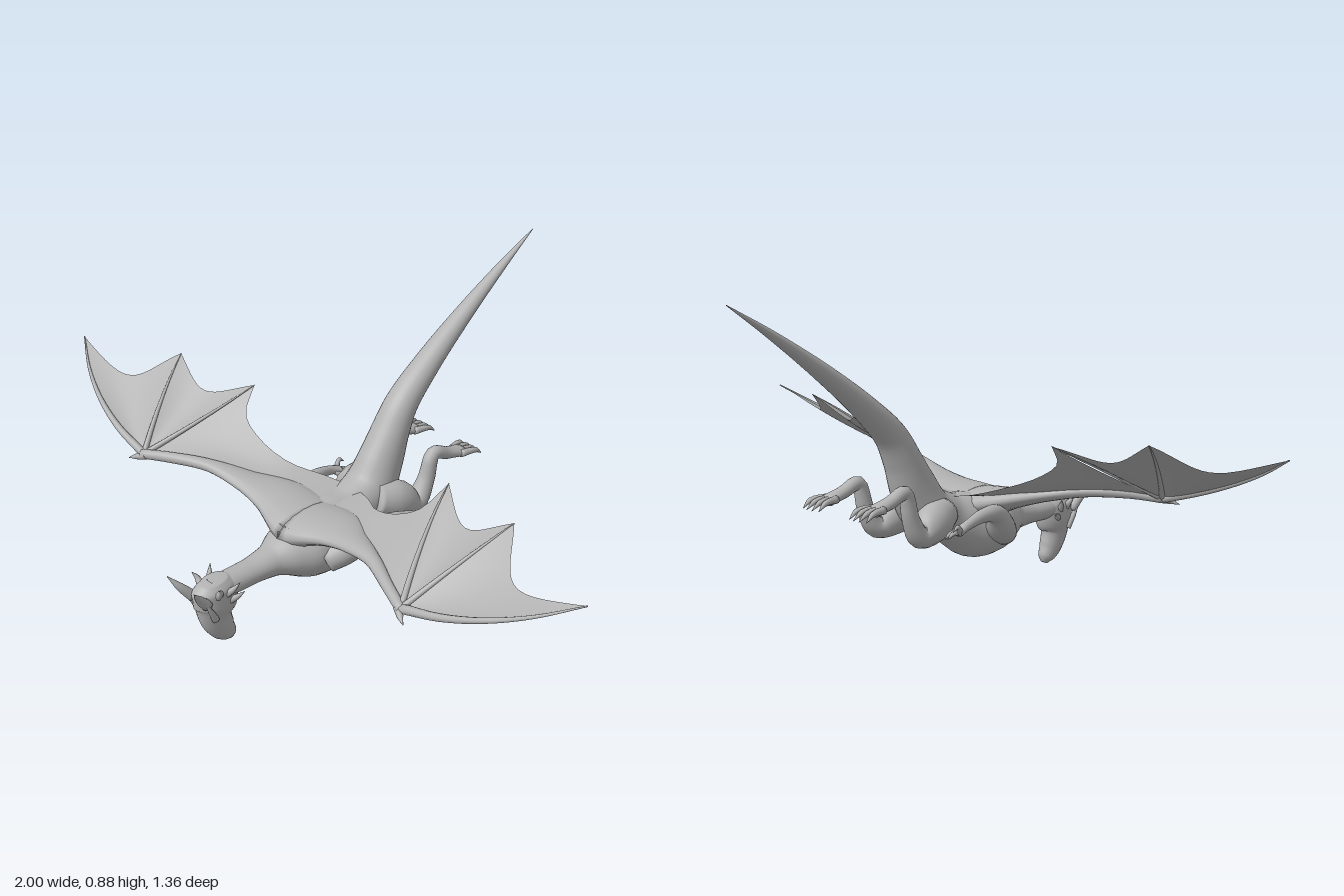
import * as THREE from 'three';

const V = (x, y, z) => new THREE.Vector3(x, y, z);
const hide = new THREE.MeshStandardMaterial({ color: 0xb2b2b2, side: THREE.DoubleSide });
hide.name = 'grey hide';

function indexed(pos, idx) {
  const g = new THREE.BufferGeometry();
  g.setAttribute('position', new THREE.Float32BufferAttribute(pos, 3));
  g.setIndex(idx);
  g.computeVertexNormals();
  return g;
}

// Smooth closed tube through sections [x, y, z, width, height]; width runs along ref
function loft(sections, ref = V(1, 0, 0), perSpan = 5, sides = 18) {
  const path = new THREE.CatmullRomCurve3(sections.map(s => V(s[0], s[1], s[2])));
  const size = new THREE.CatmullRomCurve3(sections.map(s => V(s[3], s[4] ?? s[3], 0)));
  const n = (sections.length - 1) * perSpan;
  const pos = [], idx = [];
  for (let k = -1; k <= n + 1; k++) {
    const u = THREE.MathUtils.clamp(k / n, 0, 1);
    const c = path.getPoint(u), t = path.getTangent(u), r = size.getPoint(u);
    const open = k >= 0 && k <= n ? 1 : 0;
    const a = ref.clone().addScaledVector(t, -ref.dot(t)).normalize();
    const b = t.clone().cross(a);
    for (let j = 0; j < sides; j++) {
      const th = (j / sides) * Math.PI * 2;
      const p = c.clone()
        .addScaledVector(a, Math.cos(th) * Math.max(r.x, 0) * open)
        .addScaledVector(b, Math.sin(th) * Math.max(r.y, 0) * open);
      pos.push(p.x, p.y, p.z);
    }
  }
  for (let i = 0; i < n + 2; i++) {
    for (let j = 0; j < sides; j++) {
      const j2 = (j + 1) % sides;
      const a = i * sides + j, b = i * sides + j2, c = b + sides, d = a + sides;
      idx.push(a, b, d, b, c, d);
    }
  }
  return indexed(pos, idx);
}

// Thin skin between two curves; the far edge is scalloped and the middle sags
function membrane(curveA, curveB, dip, sag) {
  const n = 14, pos = [], idx = [];
  for (let i = 0; i <= n; i++) {
    for (let j = 0; j <= n; j++) {
      const t = j / n, arch = Math.sin(Math.PI * t);
      const s = (i / n) * (1 - dip * arch);
      const p = curveA.getPoint(s).lerp(curveB.getPoint(s), t);
      pos.push(p.x, p.y - sag * arch * Math.sin(Math.PI * s * 0.8), p.z);
      if (i < n && j < n) {
        const a = i * (n + 1) + j, d = a + n + 1;
        idx.push(a, d, a + 1, a + 1, d, d + 1);
      }
    }
  }
  return indexed(pos, idx);
}

export function createModel() {
  const model = new THREE.Group();
  model.name = 'dragon';
  const add = (name, geometry, parent = model) => {
    const mesh = new THREE.Mesh(geometry, hide);
    mesh.name = name;
    parent.add(mesh);
  };
  // Curved spike from base through bend to tip
  const spike = (name, base, mid, tip, r, parent) =>
    add(name, loft([[...base, r], [...mid, r * 0.7], [...tip, 0.0008]], V(1, 0, 0), 4, 8), parent);

  // Neck, trunk and raised tail
  add('bodyAndTail', loft([
    [0, 0.18, 0.59, 0.035, 0.033], [0, 0.178, 0.52, 0.04, 0.033],
    [0, 0.178, 0.45, 0.041, 0.034], [0, 0.18, 0.38, 0.05, 0.044],
    [0, 0.182, 0.33, 0.078, 0.065], [0, 0.18, 0.27, 0.105, 0.09],
    [0, 0.185, 0.2, 0.112, 0.101], [0, 0.207, 0.13, 0.09, 0.085],
    [0, 0.23, 0.07, 0.072, 0.07], [0, 0.262, 0.0, 0.075, 0.074],
    [0, 0.33, -0.045, 0.065, 0.07], [0, 0.41, -0.085, 0.057, 0.055],
    [0, 0.485, -0.13, 0.05, 0.046], [0, 0.58, -0.235, 0.041, 0.036],
    [0, 0.687, -0.38, 0.029, 0.025], [0, 0.795, -0.545, 0.015, 0.012],
    [0, 0.875, -0.68, 0.001, 0.001]], V(1, 0, 0), 6, 28));

  // Head bent straight down
  add('head', loft([
    [0, 0.212, 0.575, 0.028, 0.04], [0, 0.185, 0.573, 0.045, 0.07],
    [0, 0.14, 0.572, 0.045, 0.068], [0, 0.1, 0.576, 0.036, 0.05],
    [0, 0.05, 0.557, 0.031, 0.039], [0, 0.02, 0.537, 0.024, 0.026],
    [0, 0.003, 0.53, 0.01, 0.01]], V(1, 0, 0), 5, 22));

  for (const m of [1, -1]) {
    const sideName = m > 0 ? 'left' : 'right';
    const part = new THREE.Group();
    part.name = sideName + 'Side';
    model.add(part);
    const flip = list => list.map(([x, ...rest]) => [x * m, ...rest]);
    const F = (x, y, z) => [x * m, y, z];

    // Horns, brow and cheek spikes
    spike('horn', F(0.03, 0.165, 0.622), F(0.042, 0.205, 0.655), F(0.058, 0.243, 0.682), 0.016, part);
    spike('browRidge', F(0.034, 0.11, 0.6), F(0.042, 0.15, 0.62), F(0.046, 0.19, 0.64), 0.011, part);
    spike('earSpike', F(0.035, 0.18, 0.59), F(0.05, 0.198, 0.59), F(0.06, 0.217, 0.6), 0.012, part);
    spike('cheekSpike', F(0.035, 0.175, 0.56), F(0.05, 0.19, 0.55), F(0.064, 0.213, 0.535), 0.012, part);
    spike('jawSpike', F(0.035, 0.15, 0.55), F(0.048, 0.16, 0.535), F(0.057, 0.172, 0.515), 0.011, part);

    // Foreleg swept back
    add('foreleg', loft(flip([
      [0.085, 0.165, 0.245, 0.04], [0.118, 0.195, 0.195, 0.043], [0.148, 0.245, 0.14, 0.028],
      [0.163, 0.253, 0.07, 0.02], [0.175, 0.24, -0.005, 0.014], [0.175, 0.226, -0.045, 0.02, 0.012]])), part);
    for (const [dx, y, z] of [[-0.022, 0.207, -0.07], [0, 0.212, -0.082], [0.018, 0.235, -0.08]]) {
      spike('foreClaw', F(0.175 + dx * 0.5, 0.226, -0.04), F(0.175 + dx, y + 0.012, z + 0.018),
        F(0.175 + dx, y, z), 0.009, part);
    }
    spike('foreThumb', F(0.165, 0.23, -0.02), F(0.152, 0.222, -0.035), F(0.15, 0.205, -0.045), 0.008, part);

    // Hind leg: thigh, shank and long trailing foot
    add('hindLeg', loft(flip([
      [0.055, 0.255, 0.025, 0.045], [0.075, 0.238, -0.035, 0.052, 0.057], [0.088, 0.21, -0.105, 0.036, 0.033],
      [0.092, 0.265, -0.142, 0.026, 0.025], [0.095, 0.343, -0.168, 0.021],
      [0.096, 0.325, -0.225, 0.021, 0.018], [0.096, 0.31, -0.285, 0.03, 0.015]])), part);
    for (let i = 0; i < 4; i++) {
      const dx = (i - 1.5) * 0.021;
      spike('hindToe', F(0.096 + dx * 0.6, 0.314, -0.265), F(0.096 + dx, 0.312, -0.315),
        F(0.096 + dx * 1.05, 0.293, -0.35 + Math.abs(dx) * 0.3), 0.012, part);
    }

    // Wing arm, broad at the shoulder
    add('wingArm', loft(flip([
      [0, 0.238, 0.235, 0.115, 0.055], [0.11, 0.268, 0.235, 0.09, 0.034], [0.22, 0.293, 0.268, 0.046, 0.021],
      [0.34, 0.315, 0.312, 0.022, 0.017], [0.45, 0.318, 0.368, 0.016], [0.54, 0.31, 0.408, 0.014]]),
      V(0, 0, 1)), part);
    spike('wingThumb', F(0.525, 0.308, 0.405), F(0.55, 0.302, 0.422), F(0.572, 0.294, 0.434), 0.012, part);

    // Finger bones fanning out from the wing wrist
    const wrist = V(0.535 * m, 0.31, 0.405);
    const fingers = [
      [[0.8, 0.38, 0.415], [1, 0.496, 0.28]],
      [[0.615, 0.43, 0.275], [0.67, 0.508, 0.15]],
      [[0.435, 0.415, 0.225], [0.395, 0.478, 0.09]],
    ].map(([mid, tip]) => new THREE.QuadraticBezierCurve3(wrist, V(...F(...mid)), V(...F(...tip))));
    fingers.forEach((curve, i) => {
      const r = i === 0 ? 0.013 : 0.009;
      const rings = [0, 0.25, 0.5, 0.75, 1].map(s => [...curve.getPoint(s).toArray(), r * (1 - s * 0.85)]);
      add('wingFinger', loft(rings, V(0, 0.3, 1), 4, 10), part);
    });

    // Skin between the fingers
    add('outerMembrane', membrane(fingers[0], fingers[1], 0.22, 0.025), part);
    add('middleMembrane', membrane(fingers[1], fingers[2], 0.2, 0.025), part);

    // Skin between arm and flank
    const lead = new THREE.CatmullRomCurve3([F(0, 0.27, 0.33), F(0.11, 0.28, 0.31), F(0.22, 0.3, 0.295),
      F(0.34, 0.318, 0.322), F(0.45, 0.318, 0.372), wrist.toArray()].map(p => V(...p)));
    const trail = new THREE.CatmullRomCurve3([F(0, 0.285, 0.06), F(0.09, 0.298, 0.09), F(0.18, 0.325, 0.145),
      F(0.28, 0.365, 0.165), F(0.36, 0.415, 0.155), F(0.395, 0.478, 0.09)].map(p => V(...p)));
    add('innerMembrane', membrane(lead, trail, 0, 0.012), part);
  }
  return model;
}
